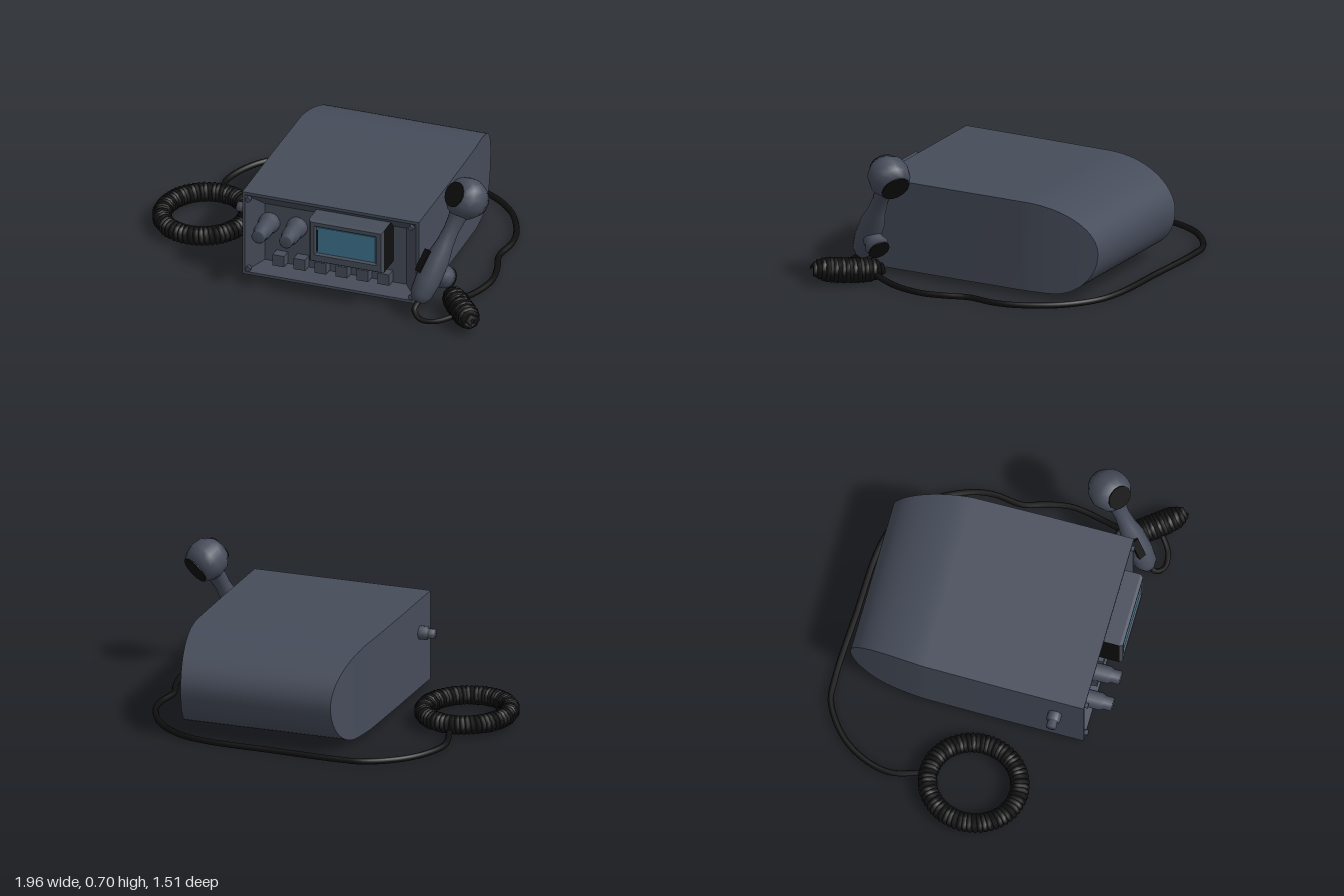
import * as THREE from 'three';

const mat = (name, color, side = THREE.FrontSide) => {
  const m = new THREE.MeshStandardMaterial({ color, side });
  m.name = name;
  return m;
};

// Smooth surface through rows of [x, y, z] points
function grid(rows) {
  const n = rows[0].length, index = [];
  for (let i = 0; i < rows.length - 1; i++)
    for (let j = 0; j < n - 1; j++) {
      const a = i * n + j, b = a + 1, c = a + n, d = c + 1;
      index.push(a, c, b, b, c, d);
    }
  const g = new THREE.BufferGeometry();
  g.setAttribute('position', new THREE.Float32BufferAttribute(rows.flat(2), 3));
  g.setIndex(index);
  g.computeVertexNormals();
  return g;
}

// Flat-faced band between nested rectangles [x0, x1, y0, y1, z]
function frame(rects) {
  const rows = rects.map(([x0, x1, y0, y1, z]) =>
    [[x0, y0, z], [x0, y1, z], [x1, y1, z], [x1, y0, z], [x0, y0, z]]);
  const g = grid(rows).toNonIndexed();
  g.computeVertexNormals();
  return g;
}

// Coiled wire wrapped round a centre curve
function coil(path, turns, radius, wire, closed, taper = 0) {
  const n = turns * 10, f = path.computeFrenetFrames(n, closed), pts = [];
  for (let i = 0; i < (closed ? n : n + 1); i++) {
    const t = i / n, a = t * turns * Math.PI * 2;
    const r = radius * (1 - taper * Math.pow(Math.abs(2 * t - 1), 5));
    pts.push(path.getPointAt(t)
      .addScaledVector(f.normals[i], Math.cos(a) * r)
      .addScaledVector(f.binormals[i], Math.sin(a) * r));
  }
  return new THREE.TubeGeometry(new THREE.CatmullRomCurve3(pts, closed), n, wire, 6, closed);
}

const curve = (pts) => new THREE.CatmullRomCurve3(pts.map(p => new THREE.Vector3(...p)));
const lathe = (pts, sides) => new THREE.LatheGeometry(pts.map(p => new THREE.Vector2(...p)), sides);

export function createModel() {
  const root = new THREE.Group();
  const grey = mat('slateGrey', 0x464c5a);
  const greyOpen = mat('slateGreyShell', 0x464c5a, THREE.DoubleSide);
  const black = mat('rubberBlack', 0x0f0f10);
  const blue = mat('screenBlue', 0x3f7590);
  const add = (name, geo, m, x = 0, y = 0, z = 0, parent = root) => {
    const mesh = new THREE.Mesh(geo, m);
    mesh.name = name;
    mesh.position.set(x, y, z);
    parent.add(mesh);
    return mesh;
  };

  // Case: flat-sided shell with a rounded, tapering back
  const cx = 0.115, mid = 0.265, H = 0.235;
  const stations = [0.54, 0.1];
  for (let i = 0; i <= 18; i++) stations.push(-0.3 - 0.402 * Math.sin(i / 18 * Math.PI / 2));
  const round = (z, start) => {
    const t = Math.min(1, Math.max(0, (start - z) / (start + 0.702)));
    return H * Math.sqrt(1 - t * t);
  };
  const half = z => 0.475 - 0.07 * Math.pow(Math.max(0, (-0.2 - z) / 0.502), 1.8);
  const top = stations.map(z => [z, mid + round(z, -0.3)]);
  const bottom = stations.map(z => [z, mid - round(z, -0.45)]);
  const outline = [...top, ...bottom.slice(0, -1).reverse()];
  add('caseWrap', grid(outline.map(([z, y]) => [[cx + half(z), y, z], [cx - half(z), y, z]])), greyOpen);
  for (const s of [1, -1])
    add(s > 0 ? 'caseLeftSide' : 'caseRightSide', grid(stations.map((z, i) =>
      [[cx + s * half(z), top[i][1], z], [cx + s * half(z), bottom[i][1], z]])), greyOpen);

  // Recessed front panel
  add('frontBezel', frame([
    [-0.36, 0.59, 0.03, 0.5, 0.54], [-0.345, 0.575, 0.045, 0.485, 0.54],
    [-0.26, 0.5, 0.1, 0.42, 0.48]]), greyOpen);
  add('frontPanel', new THREE.BoxGeometry(0.78, 0.34, 0.01), grey, 0.12, 0.26, 0.476);

  // Display housing with stepped frame and blue screen
  add('displayHousing', new THREE.BoxGeometry(0.4, 0.24, 0.14),
    [black, black, grey, grey, grey, grey], 0.23, 0.34, 0.55);
  add('displayFrame', frame([
    [0.03, 0.43, 0.22, 0.46, 0.62], [0.04, 0.42, 0.23, 0.45, 0.635],
    [0.06, 0.395, 0.265, 0.43, 0.635], [0.07, 0.385, 0.275, 0.42, 0.622]]), greyOpen);
  add('screen', new THREE.BoxGeometry(0.315, 0.145, 0.006), blue, 0.228, 0.348, 0.624);
  add('screenEdge', new THREE.BoxGeometry(0.008, 0.12, 0.004), black, 0.075, 0.345, 0.629);

  // Two stepped tuning knobs
  const knob = lathe([[0.055, 0], [0.055, 0.03], [0.046, 0.05], [0.046, 0.12], [0.036, 0.135],
    [0.036, 0.175], [0.03, 0.18], [0, 0.18]], 14).rotateX(Math.PI / 2);
  for (const x of [-0.233, -0.085]) add('tuningKnob', knob, grey, x, 0.32, 0.48);

  // Row of push buttons
  for (let i = 0; i < 6; i++)
    add('pushButton', new THREE.BoxGeometry(0.062, 0.062, 0.06), grey, -0.168 + i * 0.113, 0.135, 0.505);

  // Corner screws
  const screw = new THREE.CylinderGeometry(0.014, 0.014, 0.02, 10).rotateX(Math.PI / 2);
  for (const x of [-0.325, 0.55])
    for (const y of [0.068, 0.465]) add('cornerScrew', screw, grey, x, y, 0.545);

  // Side socket
  add('sideSocket', lathe([[0.036, 0], [0.036, 0.04], [0.022, 0.042], [0.026, 0.05],
    [0.026, 0.08], [0, 0.08]], 12).rotateZ(Math.PI / 2), grey, -0.36, 0.325, 0.39);

  // Coiled ring of cord lying on the ground
  const ring = [];
  for (let i = 0; i < 24; i++) {
    const a = i / 24 * Math.PI * 2;
    ring.push(new THREE.Vector3(-0.735 + 0.215 * Math.cos(a), 0.06, 0.068 + 0.235 * Math.sin(a)));
  }
  add('cordRing', coil(new THREE.CatmullRomCurve3(ring, true), 60, 0.036, 0.016, true), black);

  // Cord running round the back of the case
  add('longCord', new THREE.TubeGeometry(curve([
    [-0.74, 0.03, -0.19], [-0.78, 0.02, -0.38], [-0.69, 0.018, -0.6], [-0.5, 0.018, -0.745],
    [-0.36, 0.018, -0.762], [0, 0.018, -0.75], [0.36, 0.018, -0.735], [0.52, 0.018, -0.69],
    [0.68, 0.018, -0.56], [0.78, 0.018, -0.37], [0.8, 0.018, -0.25], [0.785, 0.018, -0.1],
    [0.82, 0.018, 0.02], [0.84, 0.018, 0.15], [0.81, 0.025, 0.32], [0.77, 0.05, 0.45]]),
    90, 0.016, 8), black);

  // Coiled hank of cord beside the handset
  add('cordHank', coil(curve([[0.72, 0.065, 0.43], [0.83, 0.068, 0.575], [0.935, 0.085, 0.712]]),
    18, 0.05, 0.018, false, 0.75), black);
  add('hankCore', new THREE.CapsuleGeometry(0.045, 0.25, 4, 10)
    .rotateX(Math.PI / 2), black, 0.83, 0.072, 0.575).rotation.y = 0.65;
  add('shortCord', new THREE.TubeGeometry(curve([
    [0.62, 0.1, 0.6], [0.605, 0.06, 0.65], [0.65, 0.03, 0.685], [0.73, 0.03, 0.68],
    [0.82, 0.05, 0.62]]), 30, 0.014, 8), black);

  // Handset: local y runs along the grip, local z points out of the earpiece
  const handset = new THREE.Group();
  handset.name = 'handset';
  const up = new THREE.Vector3(0.15, 0.44, -0.22).normalize();
  const out = new THREE.Vector3(0.555, 0, -0.83);
  out.addScaledVector(up, -out.dot(up)).normalize();
  const side = new THREE.Vector3().crossVectors(up, out);
  handset.quaternion.setFromRotationMatrix(new THREE.Matrix4().makeBasis(side, up, out));
  handset.position.set(0.63, 0.15, 0.58);
  root.add(handset);
  add('grip', lathe([[0, -0.075], [0.035, -0.07], [0.058, -0.03], [0.066, 0.05], [0.062, 0.17],
    [0.046, 0.25], [0.04, 0.33], [0.046, 0.4], [0.07, 0.48]], 14), grey, 0, 0, 0, handset);
  add('earpiece', lathe([[0, -0.085], [0.066, -0.085], [0.1, -0.045], [0.108, 0.01],
    [0.1, 0.045], [0.078, 0.085], [0, 0.085]], 14).rotateX(Math.PI / 2), grey, 0, 0.51, 0, handset);
  const cap = r => new THREE.CylinderGeometry(r, r, 0.008, 14).rotateX(Math.PI / 2);
  add('earpieceGrille', cap(0.075), black, 0, 0.51, 0.086, handset);
  add('earpieceBackPad', cap(0.066), black, 0, 0.51, -0.086, handset);
  add('mouthpiece', lathe([[0.05, 0], [0.052, 0.07], [0.062, 0.09], [0.055, 0.125], [0, 0.125]], 12)
    .rotateX(Math.PI / 2), grey, 0, 0.09, 0, handset);
  add('mouthpieceGrille', cap(0.056), black, 0, 0.09, 0.126, handset);
  add('talkButton', new THREE.BoxGeometry(0.04, 0.12, 0.03), black, 0.025, 0.13, -0.055, handset);

  return root;
}
